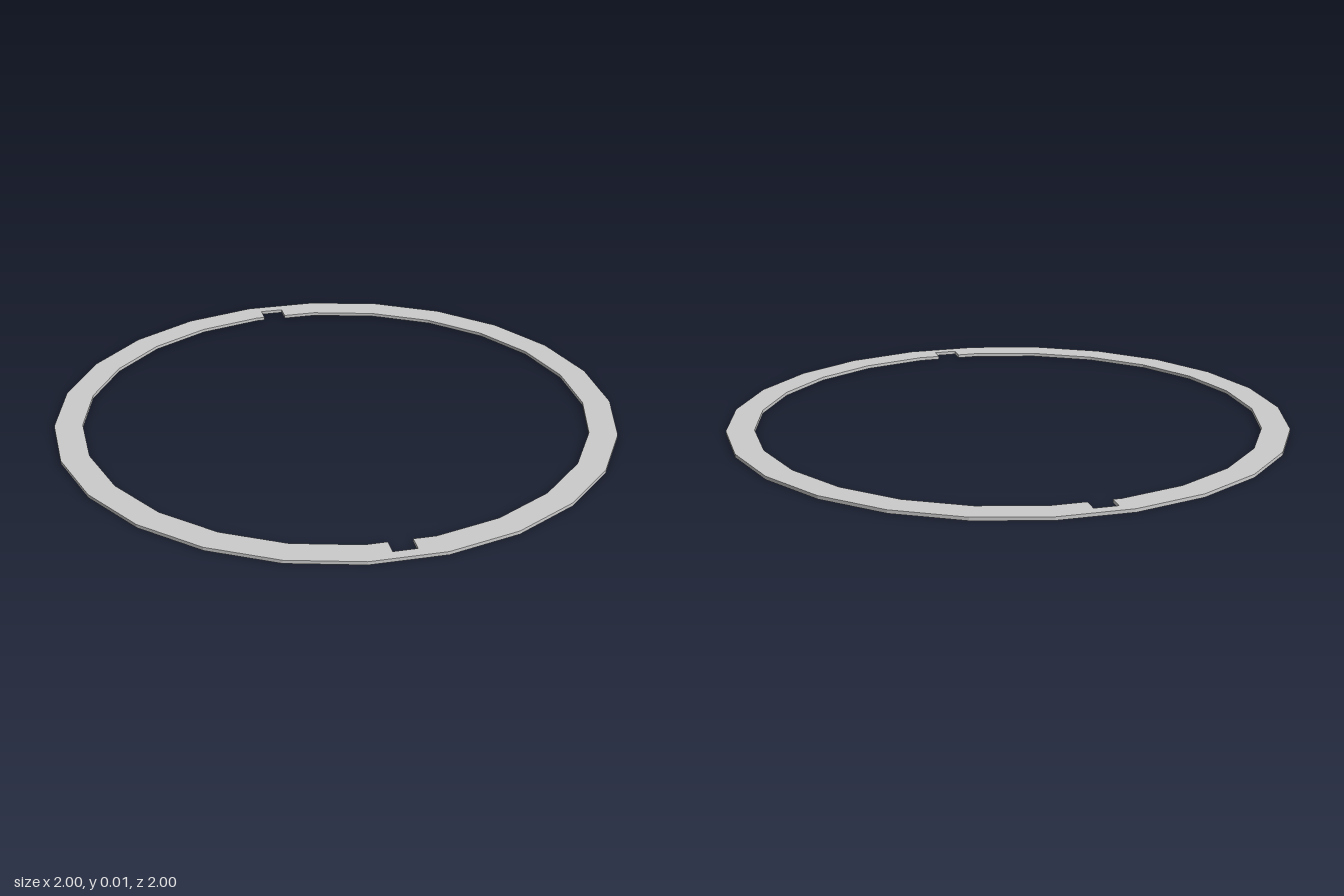
import * as THREE from 'three';

const SIDES = 24, OUTER = 1, INNER = 0.9, THICKNESS = 0.012, NOTCH_DEPTH = 0.059;

const corner = (k, r) => {
  const a = (k / SIDES) * Math.PI * 2;
  return new THREE.Vector2(r * Math.cos(a), r * Math.sin(a));
};

// Four corners of a square notch cut into the inner facet that ends at corner k;
// t0 and t1 are fractions along that facet.
function notch(k, t0, t1) {
  const a = corner(k - 1, INNER), b = corner(k, INNER);
  const out = corner(k - 0.5, NOTCH_DEPTH);
  const p0 = a.clone().lerp(b, t0), p1 = a.clone().lerp(b, t1);
  return [p0, p0.clone().add(out), p1.clone().add(out), p1];
}

export function createModel() {
  const group = new THREE.Group();
  group.name = 'notchedRing';

  // Back notch before corner 6, front notch before corner 18
  const notches = { 6: notch(6, 0.52, 0.875), 18: notch(18, 0.325, 0.675) };
  const outer = [], inner = [];
  for (let k = 0; k < SIDES; k++) {
    outer.push(corner(k, OUTER));
    inner.push(...(notches[k] || []), corner(k, INNER));
  }

  // Thin flat ring lying on the ground
  const shape = new THREE.Shape(outer);
  shape.holes.push(new THREE.Path(inner));
  const geometry = new THREE.ExtrudeGeometry(shape, { depth: THICKNESS, bevelEnabled: false });
  geometry.rotateX(-Math.PI / 2);

  const ring = new THREE.Mesh(
    geometry,
    new THREE.MeshStandardMaterial({ color: 0xcccccc, flatShading: true })
  );
  ring.name = 'ring';
  group.add(ring);
  return group;
}
